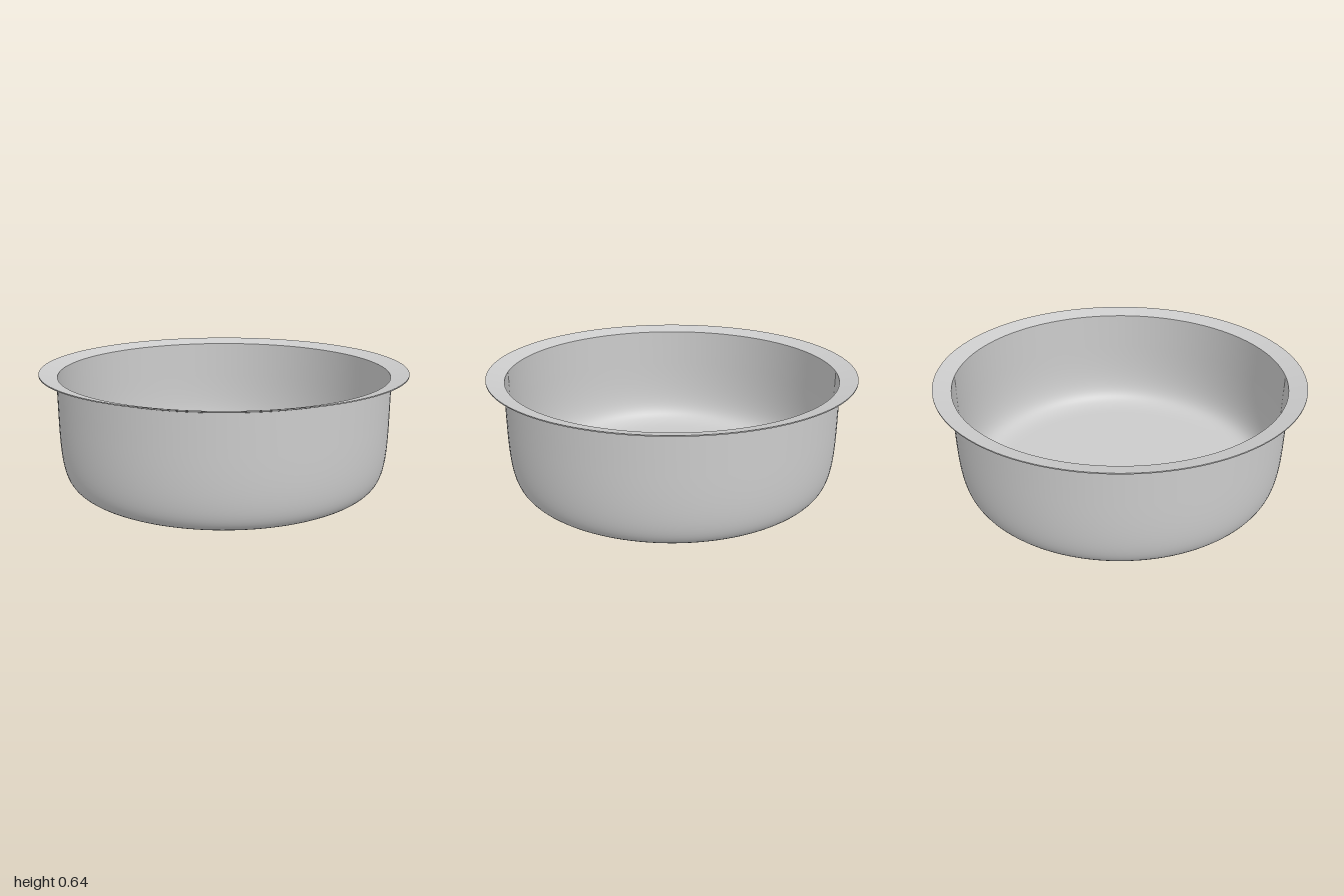
import * as THREE from 'three';

const SEGMENTS = 128;
const WALL = 0.006; // sheet thickness

// Bowl cross-section from the floor centre up the wall, inset by t
function bowlProfile(t, top) {
  const path = new THREE.Path();
  path.moveTo(0, t);
  path.lineTo(0.7 - t, t);
  path.bezierCurveTo(0.88 - t, t, 0.91 - t, 0.03 + t, 0.91 - t, 0.4);
  path.lineTo(0.91 - t, top);
  return path.getPoints(20);
}

export function createModel() {
  const group = new THREE.Group();
  group.name = 'bowl';
  const material = new THREE.MeshStandardMaterial({ color: 0xcccccc });

  const addLathe = (name, points) => {
    const mesh = new THREE.Mesh(new THREE.LatheGeometry(points, SEGMENTS), material);
    mesh.name = name;
    group.add(mesh);
  };
  const ring = (...pairs) => pairs.map(([r, y]) => new THREE.Vector2(r, y));

  // Bowl skins: outside runs upward, inside runs downward so it faces in
  addLathe('outerBowl', bowlProfile(0, 0.607));
  addLathe('innerBowl', bowlProfile(WALL, 0.615).reverse());

  // Flared rim, one strip per side to keep its edges sharp
  addLathe('rimUnderside', ring([0.91, 0.607], [1, 0.634]));
  addLathe('rimEdge', ring([1, 0.634], [1, 0.64]));
  addLathe('rimTop', ring([1, 0.64], [0.91 - WALL, 0.615]));

  return group;
}
